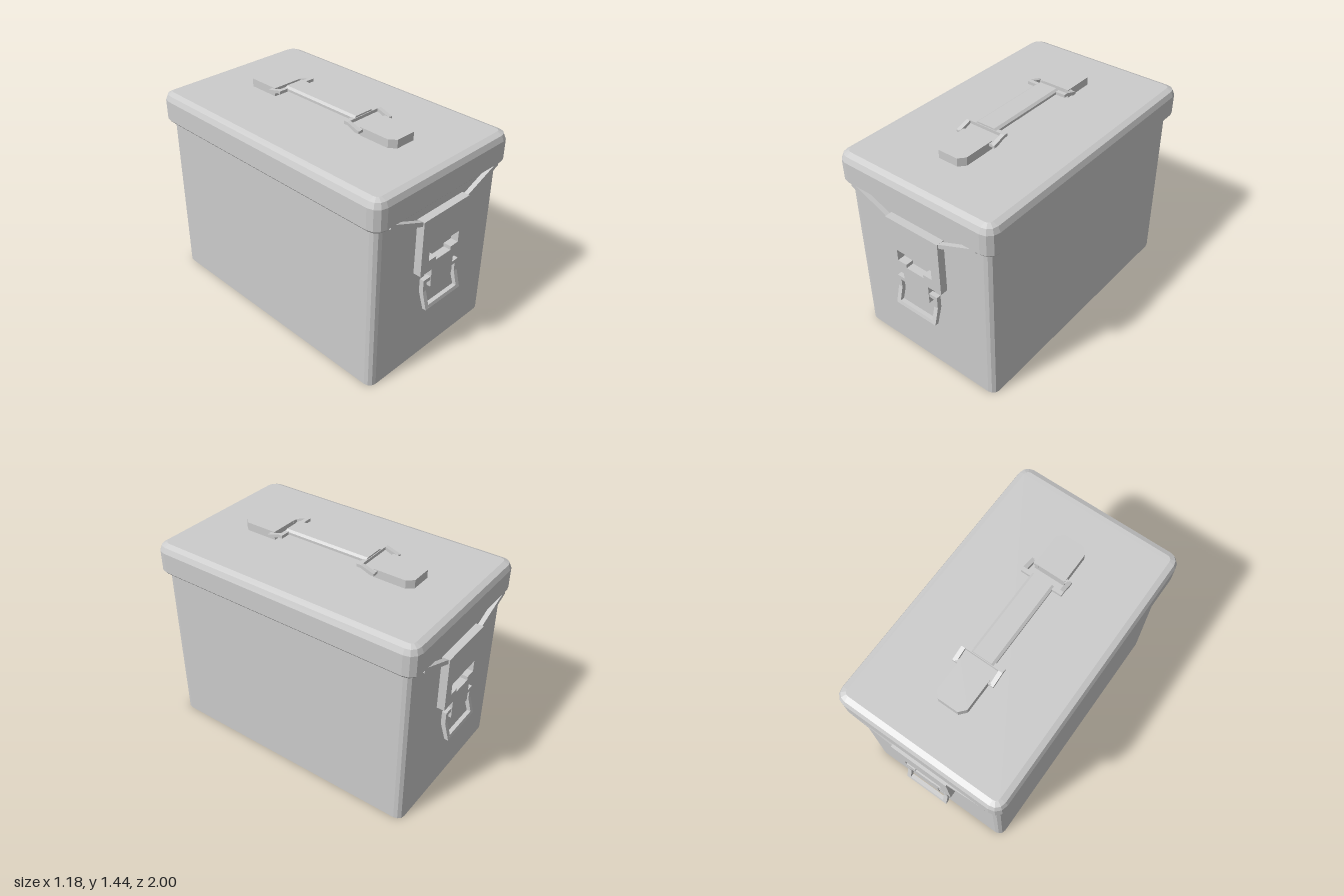
import * as THREE from 'three';

const material = new THREE.MeshStandardMaterial({ color: 0xcccccc, flatShading: true });

function add(parent, name, geometry) {
  const mesh = new THREE.Mesh(geometry, material);
  mesh.name = name;
  parent.add(mesh);
  return mesh;
}

// Rounded-rectangle solid: levels are [inset, y] from bottom to top
function roundedStack(halfX, halfZ, radius, levels, segments = 3) {
  const pos = [], index = [];
  const corners = [[1, 1], [-1, 1], [-1, -1], [1, -1]];
  const n = 4 * (segments + 1);
  for (const [inset, y] of levels) {
    corners.forEach(([sx, sz], c) => {
      for (let i = 0; i <= segments; i++) {
        const a = (c + i / segments) * Math.PI / 2, r = radius - inset;
        pos.push(sx * (halfX - radius) + r * Math.cos(a), y, sz * (halfZ - radius) + r * Math.sin(a));
      }
    });
  }
  for (let l = 0; l < levels.length - 1; l++) {
    for (let i = 0; i < n; i++) {
      const a = l * n + i, b = l * n + (i + 1) % n;
      index.push(a, a + n, b, b, a + n, b + n);
    }
  }
  const top = (levels.length - 1) * n;
  for (let i = 1; i < n - 1; i++) {
    index.push(0, i, i + 1, top, top + i + 1, top + i);
  }
  const g = new THREE.BufferGeometry();
  g.setAttribute('position', new THREE.Float32BufferAttribute(pos, 3));
  g.setIndex(index);
  g.computeVertexNormals();
  return g;
}

const shapeOf = (pts) => new THREE.Shape(pts.map(([x, y]) => new THREE.Vector2(x, y)));

// Side profile of [z, y] points, extruded from x0 to x1
function sideProfile(pts, x0, x1) {
  const g = new THREE.ExtrudeGeometry(shapeOf(pts), { depth: x1 - x0, bevelEnabled: false });
  return g.rotateY(-Math.PI / 2).translate(x1, 0, 0);
}

function createLatch() {
  const latch = new THREE.Group();
  latch.name = 'latch';

  // Stepped plate with a notched slot
  const plate = shapeOf([[-0.1, 0.56], [0.1, 0.56], [0.1, 0.69], [0.205, 0.69],
    [0.205, 1.07], [-0.205, 1.07], [-0.205, 0.69], [-0.1, 0.69]]);
  plate.holes.push(new THREE.Path([[-0.137, 0.77], [-0.137, 0.85], [0.137, 0.85], [0.137, 0.77],
    [0.068, 0.77], [0.068, 0.745], [-0.068, 0.745], [-0.068, 0.77]].map(([x, y]) => new THREE.Vector2(x, y))));
  add(latch, 'latchPlate', new THREE.ExtrudeGeometry(plate, { depth: 0.057, bevelEnabled: false })
    .translate(0, 0, 0.915));

  for (const s of [-1, 1]) {
    // Wire running from the plate up under the lid
    const a = new THREE.Vector3(s * 0.19, 1.048, 0.948), b = new THREE.Vector3(s * 0.48, 1.168, 0.948);
    const wire = add(latch, 'latchWire', new THREE.BoxGeometry(a.distanceTo(b), 0.028, 0.03));
    wire.position.copy(a).lerp(b, 0.5);
    wire.rotation.z = Math.atan2(b.y - a.y, b.x - a.x);

    // Bent side of the pull loop, and the hook into the plate
    const inner = s * 0.134, outer = s * 0.163;
    add(latch, 'pullLoopSide', sideProfile([[0.938, 0.635], [0.938, 0.545], [0.974, 0.43],
      [1.0, 0.43], [0.968, 0.55], [0.968, 0.635]], Math.min(inner, outer), Math.max(inner, outer)));
    add(latch, 'pullLoopHook', new THREE.BoxGeometry(0.05, 0.026, 0.03).translate(s * 0.115, 0.622, 0.953));
  }
  add(latch, 'pullLoopBar', sideProfile([[0.967, 0.453], [0.974, 0.43], [1.0, 0.43], [0.994, 0.453]],
    -0.137, 0.137));
  return latch;
}

function createHandleEnd() {
  const end = new THREE.Group();
  end.name = 'handleEnd';

  // Pad with chamfered outer corners
  const pad = shapeOf([[-0.107, -0.375], [-0.107, -0.595], [-0.07, -0.637], [0.07, -0.637],
    [0.107, -0.595], [0.107, -0.375]]);
  add(end, 'handlePad', new THREE.ExtrudeGeometry(pad, {
    depth: 0.06, bevelEnabled: false }).rotateX(-Math.PI / 2).translate(0, 1.35, 0));

  // Tilted wire ring linking pad and strap
  for (const s of [-1, 1]) {
    const x0 = s > 0 ? 0.118 : -0.145;
    add(end, 'ringSide', sideProfile([[0.282, 1.41], [0.31, 1.41], [0.375, 1.385], [0.402, 1.385],
      [0.402, 1.401], [0.31, 1.43], [0.282, 1.43]], x0, x0 + 0.027));
    add(end, 'ringHook', new THREE.BoxGeometry(0.045, 0.018, 0.028).translate(s * 0.104, 1.395, 0.388));
  }
  add(end, 'ringBar', new THREE.BoxGeometry(0.24, 0.02, 0.028).translate(0, 1.42, 0.296));
  return end;
}

export function createModel() {
  const model = new THREE.Group();
  model.name = 'storageBox';

  add(model, 'body', roundedStack(0.547, 0.92, 0.05, [[0, 0], [0, 1.17]]));
  add(model, 'lid', roundedStack(0.59, 0.963, 0.08,
    [[0.016, 1.15], [0, 1.168], [0, 1.305], [0.015, 1.34], [0.05, 1.355]]));

  // Strap with sloping edges
  const strap = shapeOf([[-0.08, 1.412], [0.08, 1.412], [0.08, 1.428], [0.064, 1.44], [-0.064, 1.44], [-0.08, 1.428]]);
  add(model, 'handleStrap', new THREE.ExtrudeGeometry(strap, { depth: 0.61, bevelEnabled: false })
    .translate(0, 0, -0.305));

  // Matching latch and handle end at front and back
  for (const angle of [0, Math.PI]) {
    for (const part of [createLatch(), createHandleEnd()]) {
      part.rotation.y = angle;
      model.add(part);
    }
  }
  return model;
}
